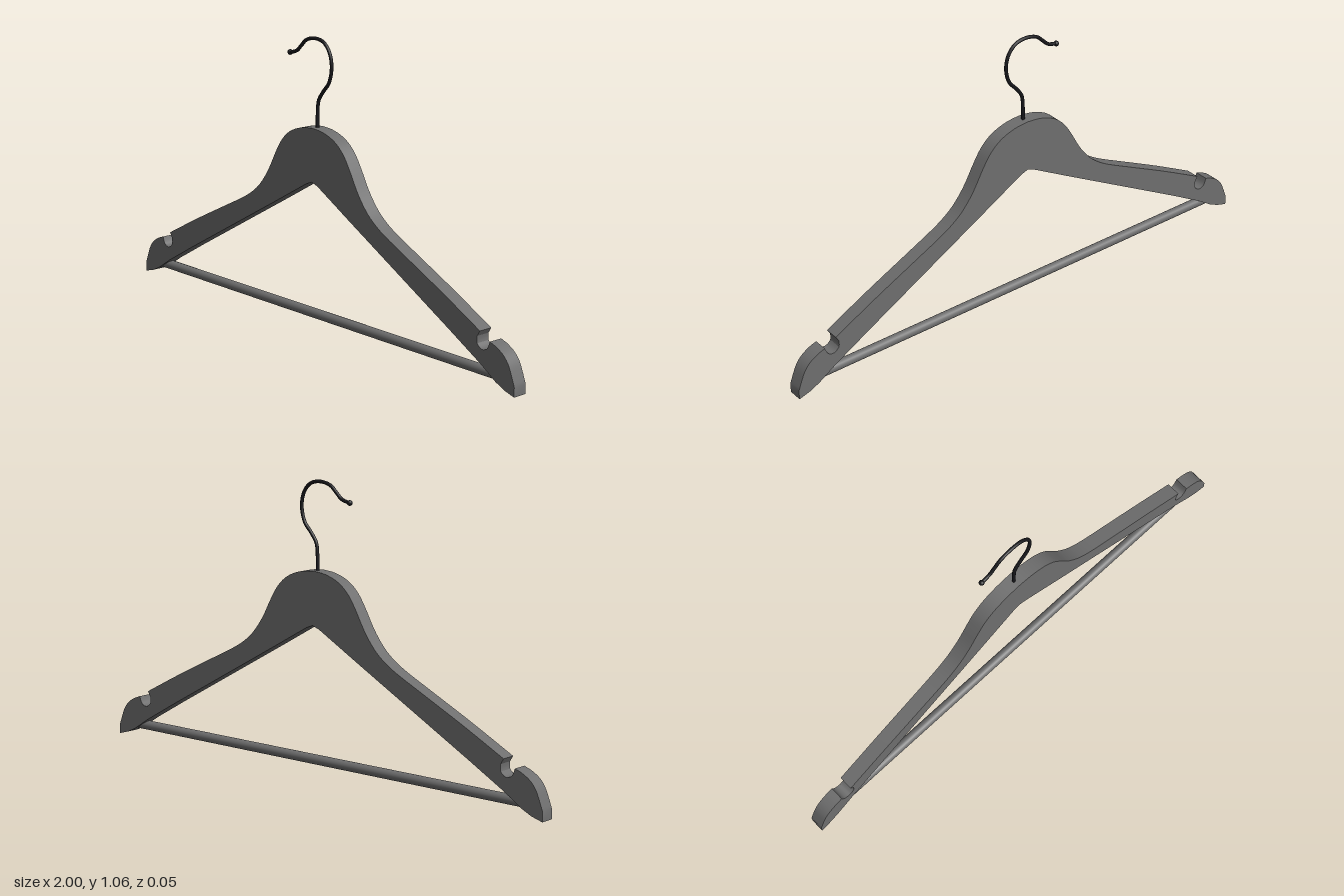
import * as THREE from 'three';
import { toCreasedNormals } from 'three/addons/utils/BufferGeometryUtils.js';

export function createModel() {
  const group = new THREE.Group();
  const grey = new THREE.MeshStandardMaterial({ color: 0x6e6e6e });
  grey.name = 'grey wood';
  const black = new THREE.MeshStandardMaterial({ color: 0x16161a });
  black.name = 'black metal';
  const add = (name, geometry, material) => {
    const mesh = new THREE.Mesh(geometry, material);
    mesh.name = name;
    group.add(mesh);
    return mesh;
  };

  // Half outline of the body: shoulder curve, strap notch, tip, underside
  const v = (x, y) => new THREE.Vector2(x, y);
  const shoulder = new THREE.SplineCurve([
    v(0, 0.74), v(0.06, 0.733), v(0.12, 0.71), v(0.165, 0.672), v(0.2, 0.62),
    v(0.24, 0.55), v(0.28, 0.497), v(0.32, 0.46), v(0.38, 0.422), v(0.5, 0.363),
    v(0.67, 0.28), v(0.84, 0.192),
  ]).getPoints(44);
  const notch = new THREE.SplineCurve([
    v(0.828, 0.172), v(0.829, 0.147), v(0.85, 0.131), v(0.874, 0.139), v(0.886, 0.166),
  ]).getPoints(12);
  const tip = new THREE.SplineCurve([
    v(0.912, 0.157), v(0.945, 0.138), v(0.97, 0.11), v(0.986, 0.075), v(1, 0.038),
  ]).getPoints(10);
  const underside = [
    v(1, 0.003), v(0.955, 0.016), v(0.915, 0.035), v(0.845, 0.08), v(0.7, 0.162),
    v(0.2, 0.438), v(0.03, 0.533), v(0, 0.544),
  ];
  const half = [...shoulder, ...notch, ...tip, ...underside];

  // Mirror the half and extrude it to the body thickness
  const mirrored = half.slice(1, -1).reverse().map((p) => v(-p.x, p.y));
  const depth = 0.054;
  const bodyGeometry = new THREE.ExtrudeGeometry(new THREE.Shape([...half, ...mirrored]), {
    depth, bevelEnabled: false,
  });
  bodyGeometry.translate(0, 0, -depth / 2);
  add('body', toCreasedNormals(bodyGeometry, 0.45), grey);

  // Trouser bar between the two arms
  const bar = add('trouserBar', new THREE.CylinderGeometry(0.018, 0.018, 1.84, 24), grey);
  bar.rotation.z = Math.PI / 2;
  bar.position.y = 0.05;

  // Wire hook ending in a small ball
  const hookPath = new THREE.CatmullRomCurve3([
    [0, 0.71], [0, 0.79], [0.006, 0.837], [0.031, 0.873], [0.06, 0.907], [0.074, 0.962],
    [0.064, 1.012], [0.034, 1.046], [-0.012, 1.056], [-0.06, 1.045], [-0.088, 1.021],
    [-0.112, 1], [-0.147, 0.99],
  ].map(([x, y]) => new THREE.Vector3(x, y, 0)));
  add('hook', new THREE.TubeGeometry(hookPath, 90, 0.0065, 12), black);
  const ball = add('hookTip', new THREE.SphereGeometry(0.01, 16, 12), black);
  ball.position.set(-0.148, 0.99, 0);

  return group;
}
